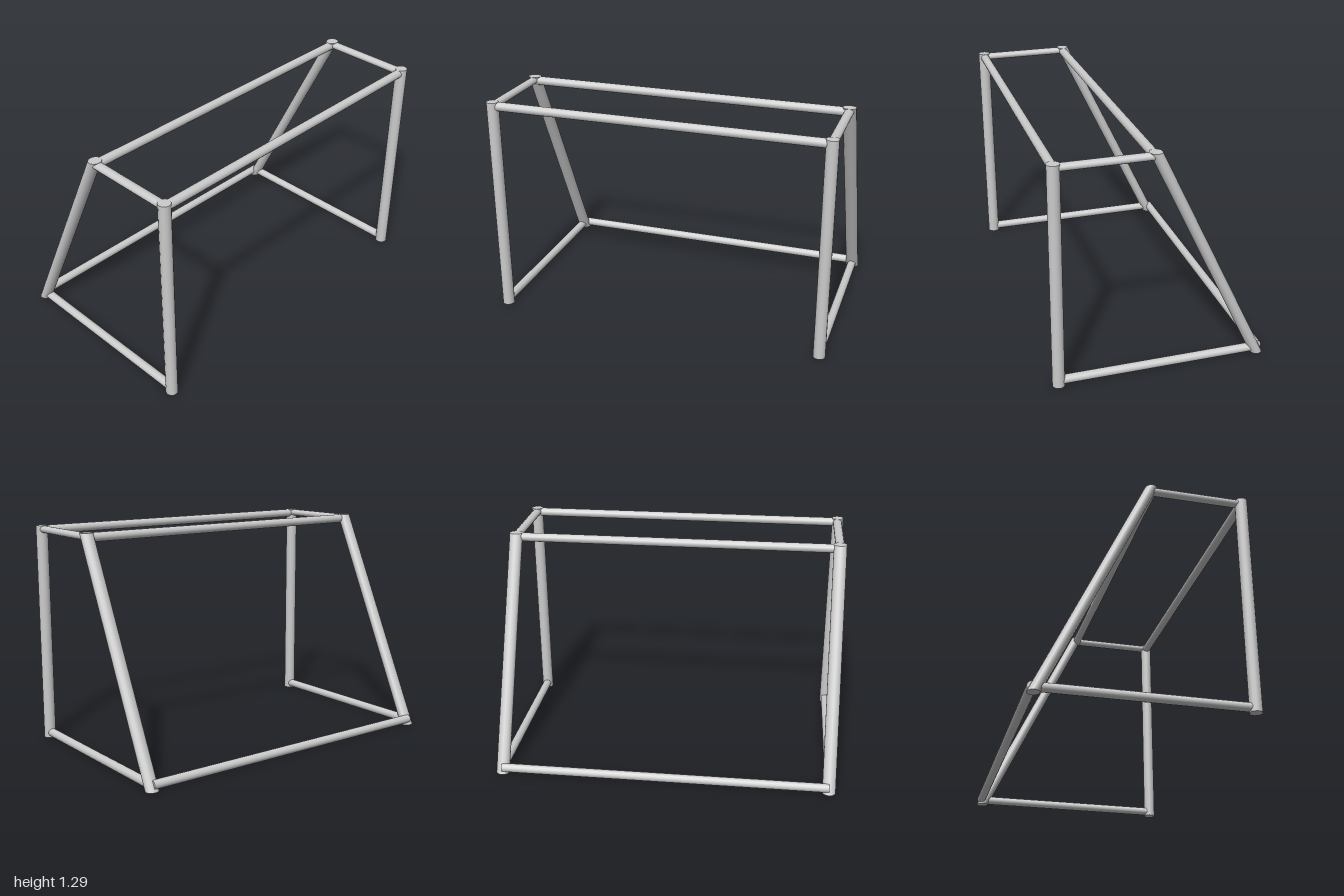
import * as THREE from 'three';

const SIDES = 14;
const HEIGHT = 1.29;
const POST_X = 0.962;
const FRONT_Z = 0.575;
const TOP_BACK_Z = 0.048;
const BACK_Z = -0.573;

export function createModel() {
  const goal = new THREE.Group();
  goal.name = 'goalFrame';
  const material = new THREE.MeshStandardMaterial({ color: 0xcccccc });

  const add = (name, geometry, x, y, z) => {
    const mesh = new THREE.Mesh(geometry, material);
    mesh.name = name;
    mesh.position.set(x, y, z);
    goal.add(mesh);
  };

  // Upright whose ends stay level; lean shifts the top along z
  const post = (name, x, bottomZ, topZ, rx, rz) => {
    const lean = (topZ - bottomZ) / HEIGHT;
    const geometry = new THREE.CylinderGeometry(1, 1, HEIGHT, SIDES)
      .scale(rx, 1, rz)
      .applyMatrix4(new THREE.Matrix4().makeShear(0, 0, 0, lean, 0, 0));
    add(name, geometry, x, HEIGHT / 2, (bottomZ + topZ) / 2);
  };

  // Bar running across the width
  const crossbar = (name, y, z) => {
    const geometry = new THREE.CylinderGeometry(0.026, 0.026, 2 * POST_X, SIDES).rotateZ(Math.PI / 2);
    add(name, geometry, 0, y, z);
  };

  // Rail running front to back
  const rail = (name, x, y, z0, z1, rx, ry) => {
    const geometry = new THREE.CylinderGeometry(1, 1, z1 - z0, SIDES)
      .rotateX(Math.PI / 2)
      .scale(rx, ry, 1);
    add(name, geometry, x, y, (z0 + z1) / 2);
  };

  // Two mirrored side frames
  for (const [side, s] of [['left', 1], ['right', -1]]) {
    post(`${side}FrontPost`, s * 0.964, FRONT_Z, FRONT_Z, 0.035, 0.035);
    post(`${side}BackPost`, s * 0.961, BACK_Z, TOP_BACK_Z, 0.039, 0.035);
    rail(`${side}TopRail`, s * POST_X, 1.268, TOP_BACK_Z, FRONT_Z, 0.027, 0.021);
    rail(`${side}GroundRail`, s * POST_X, 0.03, BACK_Z + 0.015, FRONT_Z, 0.026, 0.025);
  }

  // Bars joining the side frames
  crossbar('frontCrossbar', 1.264, 0.573);
  crossbar('upperBackCrossbar', 1.264, TOP_BACK_Z);
  crossbar('groundBackBar', 0.034, -0.58);

  return goal;
}
